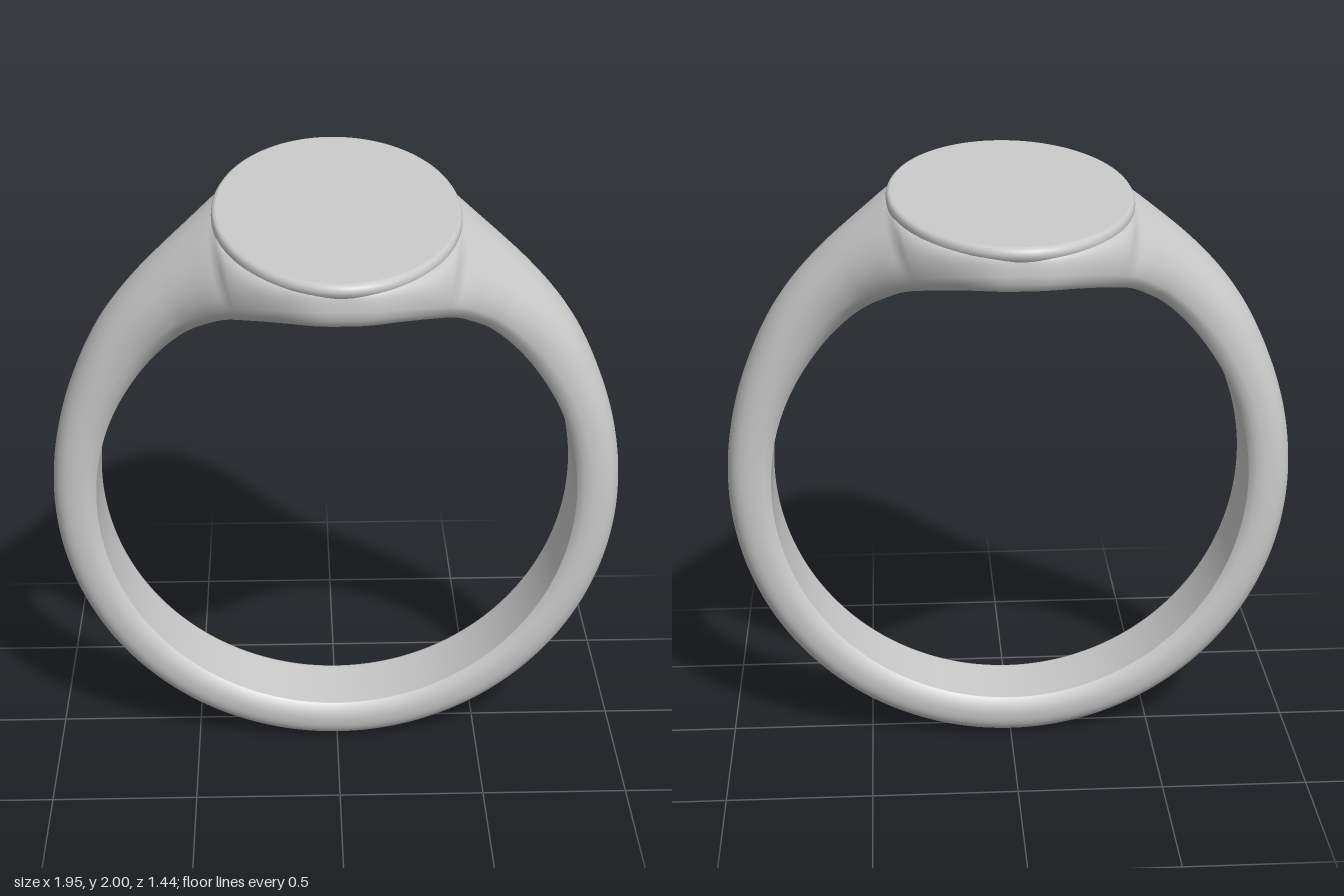
import * as THREE from 'three';

const CY = 0.98; // height of the finger-hole centre

// Smooth lookup in a table of [angle from the top in degrees, value]
function lookup(table, a) {
  const n = table.length;
  let i = 0;
  while (i < n - 2 && a > table[i + 1][0]) i++;
  const slope = (k) => (k <= 0 || k >= n - 1) ? 0
    : (table[k + 1][1] - table[k - 1][1]) / (table[k + 1][0] - table[k - 1][0]);
  const [x0, y0] = table[i], [x1, y1] = table[i + 1];
  const h = x1 - x0, t = THREE.MathUtils.clamp((a - x0) / h, 0, 1);
  const t2 = t * t, t3 = t2 * t;
  return y0 * (2 * t3 - 3 * t2 + 1) + y1 * (3 * t2 - 2 * t3)
    + h * (slope(i) * (t3 - 2 * t2 + t) + slope(i + 1) * (t3 - t2));
}

const INNER = [[0, 0.88], [12, 0.888], [23.5, 0.884], [30, 0.866], [45, 0.836], [60, 0.825], [180, 0.825]];
const OUTER = [[16, 1.09], [22, 1.073], [28, 1.055], [35, 1.04], [50, 1.015], [66, 0.988], [90, 0.976], [180, 0.976]];
const WIDTH = [[0, 0.715], [6, 0.705], [12, 0.655], [18, 0.575], [23.5, 0.48], [30, 0.37], [36, 0.29],
  [45, 0.22], [55, 0.18], [70, 0.155], [90, 0.147], [180, 0.147]];
const ROUND = [[0, 4], [12, 3], [22, 2.1], [40, 2.1], [70, 2.8], [100, 3.2], [180, 3.2]];

// One closed cross-section [radius, z], over the outside and back along the inside
function section(deg) {
  const a = Math.abs(deg), th = THREE.MathUtils.degToRad(a);
  const ri = lookup(INNER, a), w = lookup(WIDTH, a), n = lookup(ROUND, a);
  const ro = a < 22 ? 0.995 / Math.cos(th) : lookup(OUTER, a);
  const x = ro * Math.sin(th);
  const flat = a < 25 ? 0.69 * Math.sqrt(Math.max(0, 1 - (x / 0.4) ** 2)) : 0;
  const edge = ri + 0.025, zOff = 0.023 * THREE.MathUtils.smoothstep(a, 10, 45);
  const pts = [], S = 14, N = 44;
  for (const side of [1, -1]) {
    for (let k = 0; k <= S; k++) {
      const f = (side > 0 ? k : S - k) / S * Math.PI / 2;
      const c = Math.max(0, Math.cos(f)) ** (2 / n), s = Math.sin(f) ** (2 / n);
      pts.push([edge + (ro - edge) * s, side * (flat + (w - flat) * c) + zOff]);
    }
  }
  // inside face, dished out under the head
  const wi = w - 0.02;
  for (let k = 0; k <= N; k++) {
    const z = -wi + 2 * wi * k / N;
    const q = a < 40 ? Math.hypot(ri * Math.sin(th) / 0.33, z / 0.57) : 9;
    const dish = 1 - THREE.MathUtils.smoothstep(q, 0.72, 1.02);
    pts.push([THREE.MathUtils.lerp(ri, 0.95 / Math.cos(Math.min(th, 0.8)), dish), z + zOff]);
  }
  return pts;
}

function bandGeometry() {
  const pos = [], index = [], M = 360;
  let P = 0;
  for (let i = 0; i < M; i++) {
    const deg = i - 180, th = THREE.MathUtils.degToRad(deg), pts = section(deg);
    P = pts.length;
    for (const [r, z] of pts) pos.push(r * Math.sin(th), CY + r * Math.cos(th), z);
  }
  for (let i = 0; i < M; i++) {
    for (let j = 0; j < P; j++) {
      const i2 = (i + 1) % M, j2 = (j + 1) % P;
      const a = i * P + j, b = i2 * P + j, c = i2 * P + j2, d = i * P + j2;
      index.push(a, b, d, b, c, d);
    }
  }
  const g = new THREE.BufferGeometry();
  g.setAttribute('position', new THREE.Float32BufferAttribute(pos, 3));
  g.setIndex(index);
  g.computeVertexNormals();
  return g;
}

// Closed oval path in the horizontal plane
function ovalPath(rx, rz, y) {
  const pts = [];
  for (let i = 0; i < 32; i++) {
    const t = i / 32 * Math.PI * 2;
    pts.push(new THREE.Vector3(rx * Math.cos(t), y, rz * Math.sin(t)));
  }
  return new THREE.CatmullRomCurve3(pts, true);
}

export function createModel() {
  const ring = new THREE.Group();
  ring.name = 'signetRing';
  const metal = new THREE.MeshStandardMaterial({ color: 0xcccccc });
  const add = (name, geometry, material = metal) => {
    const mesh = new THREE.Mesh(geometry, material);
    mesh.name = name;
    ring.add(mesh);
    return mesh;
  };

  // shank, shoulders and head in one sweep
  add('bandAndShoulders', bandGeometry());

  // flat oval face with a softly rounded lip
  const lip = [[0.955, 1.94], [0.985, 1.955], [0.998, 1.968], [1, 1.98], [0.995, 1.991], [0.983, 1.998], [0.965, 2]]
    .map(([r, y]) => new THREE.Vector2(r, y));
  const face = new THREE.LatheGeometry(lip, 96);
  face.scale(0.41, 1, 0.722);
  add('faceLip', face);
  const top = new THREE.CircleGeometry(0.966, 96);
  top.rotateX(-Math.PI / 2);
  top.scale(0.41, 1, 0.722);
  top.translate(0, 2, 0);
  add('flatFace', top);

  // setting rim inside the hollow under the head
  add('innerBezel', new THREE.TubeGeometry(ovalPath(0.235, 0.42, 1.925), 96, 0.035, 12, true));

  // faceted underside of the stone, pointing into the finger hole
  const stone = new THREE.ConeGeometry(1, 0.14, 32, 1, true);
  stone.rotateX(Math.PI);
  const p = stone.attributes.position;
  for (let i = 0; i < p.count; i++) {
    if (p.getY(i) > 0) {
      const k = Math.round(Math.atan2(p.getZ(i), p.getX(i)) / (Math.PI / 16));
      if (k % 2 !== 0) p.setY(i, 0.045);
    }
  }
  stone.scale(0.215, 1, 0.39);
  stone.translate(0, 1.87, 0);
  add('stonePavilion', stone, new THREE.MeshStandardMaterial({ color: 0xcccccc, flatShading: true }));

  return ring;
}
